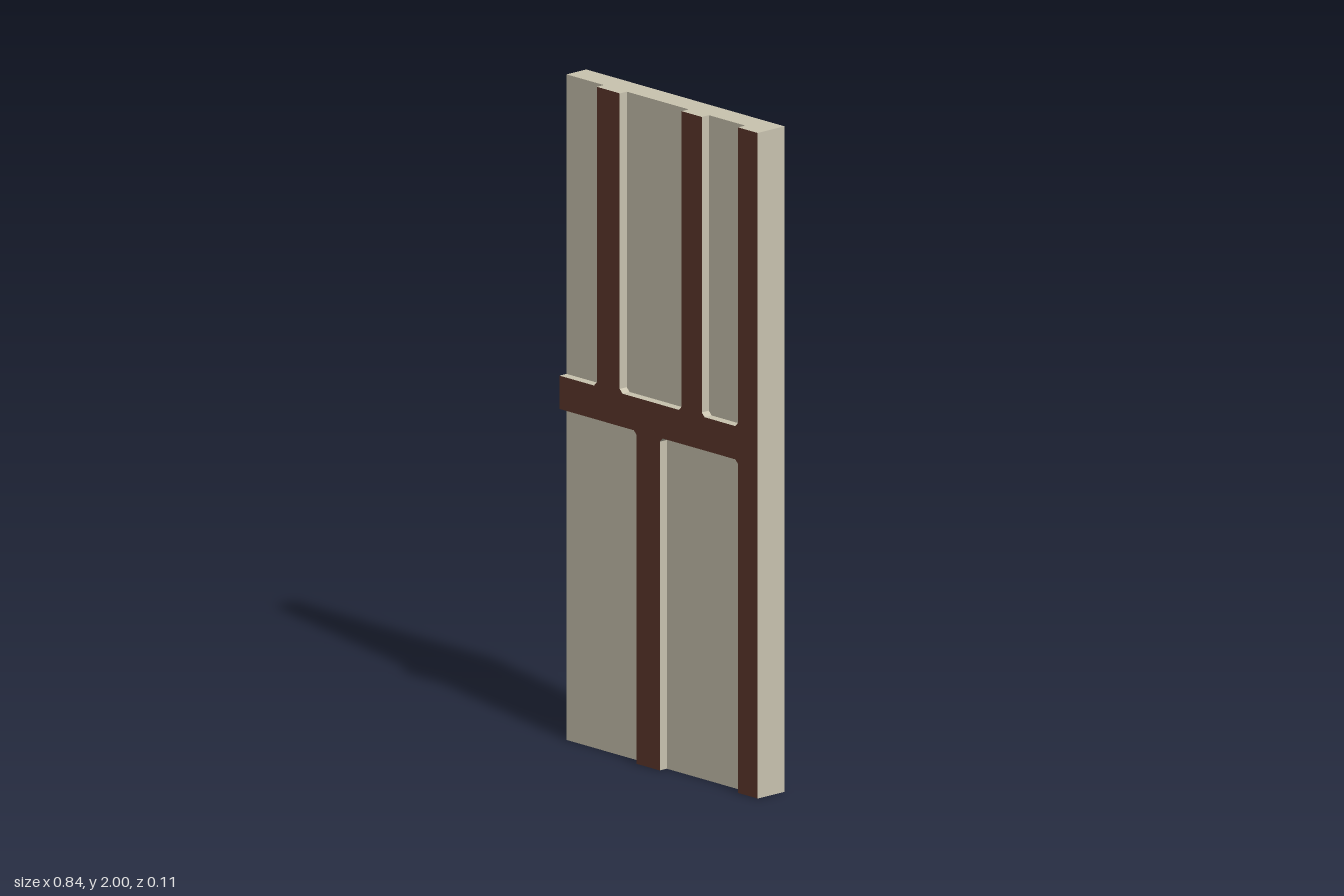
import * as THREE from 'three';

const WIDTH = 0.84, HEIGHT = 2, BACK = -0.053, RECESS = 0.025, FRONT = 0.053;
const CHAMFER = 0.012; // small cut at each inner corner where beams meet

// Closed outline; corners marked with 1 get a small chamfer.
function outline(corners) {
  const n = corners.length, points = [];
  corners.forEach(([x, y, inner], i) => {
    const here = new THREE.Vector2(x, y);
    if (!inner) return points.push(here);
    for (const j of [(i + n - 1) % n, (i + 1) % n]) {
      const dir = new THREE.Vector2(corners[j][0], corners[j][1]).sub(here).normalize();
      points.push(here.clone().addScaledVector(dir, CHAMFER));
    }
  });
  return new THREE.Shape(points);
}

export function createModel() {
  const plaster = new THREE.MeshStandardMaterial({ color: 0xcac4b0 });
  plaster.name = 'plaster';
  const timber = new THREE.MeshStandardMaterial({ color: 0x5e382c });
  timber.name = 'timber';

  const group = new THREE.Group();
  group.name = 'timberWallPanel';

  // Plaster slab behind the beams
  const slab = new THREE.Mesh(new THREE.BoxGeometry(WIDTH, HEIGHT, RECESS - BACK), plaster);
  slab.position.set(0, HEIGHT / 2, (RECESS + BACK) / 2);
  slab.name = 'wallSlab';
  group.add(slab);

  // Raised beam frame: timber face, plaster edges
  const h = WIDTH / 2, low = 1.0, high = 1.1;
  const shape = outline([
    [-h, low], [-0.093, low, 1], [-0.093, 0], [0.005, 0], [0.005, low, 1],
    [0.337, low, 1], [0.337, 0], [h, 0], [h, HEIGHT], [0.337, HEIGHT],
    [0.337, high, 1], [0.183, high, 1], [0.183, HEIGHT], [0.098, HEIGHT],
    [0.098, high, 1], [-0.165, high, 1], [-0.165, HEIGHT], [-0.262, HEIGHT],
    [-0.262, high, 1], [-h, high],
  ]);
  const frame = new THREE.Mesh(
    new THREE.ExtrudeGeometry(shape, { depth: FRONT - RECESS, bevelEnabled: false }),
    [timber, plaster],
  );
  frame.position.z = RECESS;
  frame.name = 'beamFrame';
  group.add(frame);

  return group;
}
